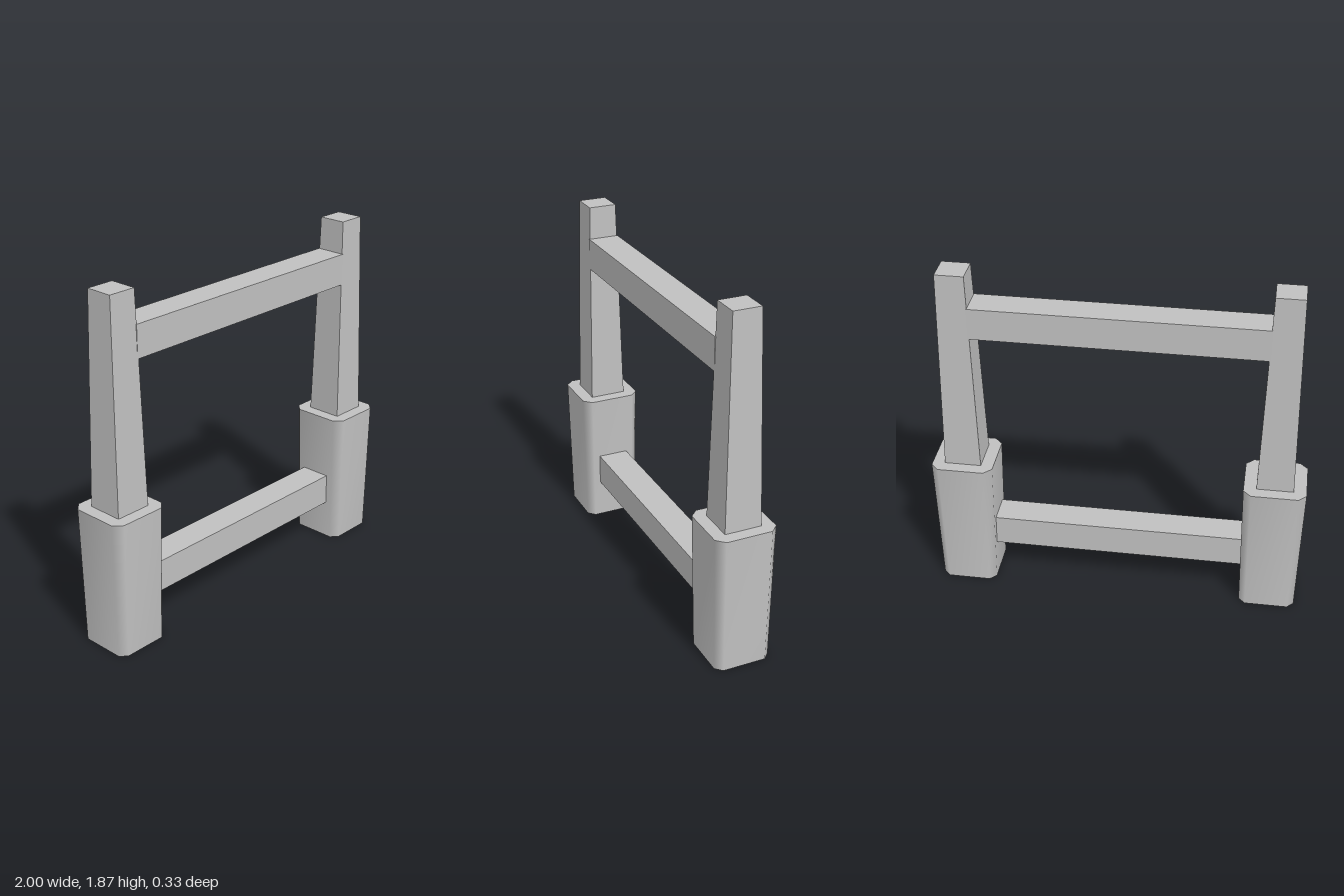
import * as THREE from 'three';

// Smooth-sided tapered block with chamfered corners and flat caps
function chamferedBlock(bottomHalf, topHalf, bottomCut, topCut, height) {
  const ring = (h, c) => [
    [h, h - c], [h - c, h], [c - h, h], [-h, h - c],
    [-h, c - h], [c - h, -h], [h - c, -h], [h, c - h],
  ];
  const low = ring(bottomHalf, bottomCut).map(([x, z]) => [x, 0, z]);
  const high = ring(topHalf, topCut).map(([x, z]) => [x, height, z]);
  // sides use the first two rings, caps use their own copies
  const points = [...low, ...high, ...low, ...high];
  const index = [];
  for (let i = 0; i < 8; i++) {
    const j = (i + 1) % 8;
    index.push(i, i + 8, j, j, i + 8, j + 8);
  }
  for (let i = 1; i < 7; i++) {
    index.push(16, 16 + i, 17 + i);
    index.push(24, 25 + i, 24 + i);
  }
  const geometry = new THREE.BufferGeometry();
  geometry.setAttribute('position', new THREE.Float32BufferAttribute(points.flat(), 3));
  geometry.setIndex(index);
  geometry.computeVertexNormals();
  return geometry;
}

// Square post tapering towards the top, standing on y = 0
function taperedPost(bottomHalf, topHalf, height) {
  const shape = new THREE.CylinderGeometry(topHalf * Math.SQRT2, bottomHalf * Math.SQRT2, height, 4);
  shape.rotateY(Math.PI / 4);
  shape.translate(0, height / 2, 0);
  const geometry = shape.toNonIndexed();
  geometry.computeVertexNormals();
  return geometry;
}

export function createModel() {
  const model = new THREE.Group();
  model.name = 'postFrame';
  const grey = new THREE.MeshStandardMaterial({ color: 0xc0c0c0 });
  grey.name = 'grey';

  const add = (name, geometry, x, y) => {
    const mesh = new THREE.Mesh(geometry, grey);
    mesh.name = name;
    mesh.position.set(x, y, 0);
    model.add(mesh);
  };

  // Two uprights, each a post standing in a heavy base
  const base = chamferedBlock(0.151, 0.165, 0.035, 0.042, 0.75);
  const post = taperedPost(0.098, 0.075, 1.12);
  for (const [side, s] of [['left', 1], ['right', -1]]) {
    add(side + 'Base', base, s * 0.835, 0);
    add(side + 'Post', post, s * 0.835, 0.75);
  }

  // Cross rails between the uprights
  add('upperRail', new THREE.BoxGeometry(1.52, 0.172, 0.166), 0, 1.608);
  add('lowerRail', new THREE.BoxGeometry(1.4, 0.172, 0.166), 0, 0.305);

  return model;
}
